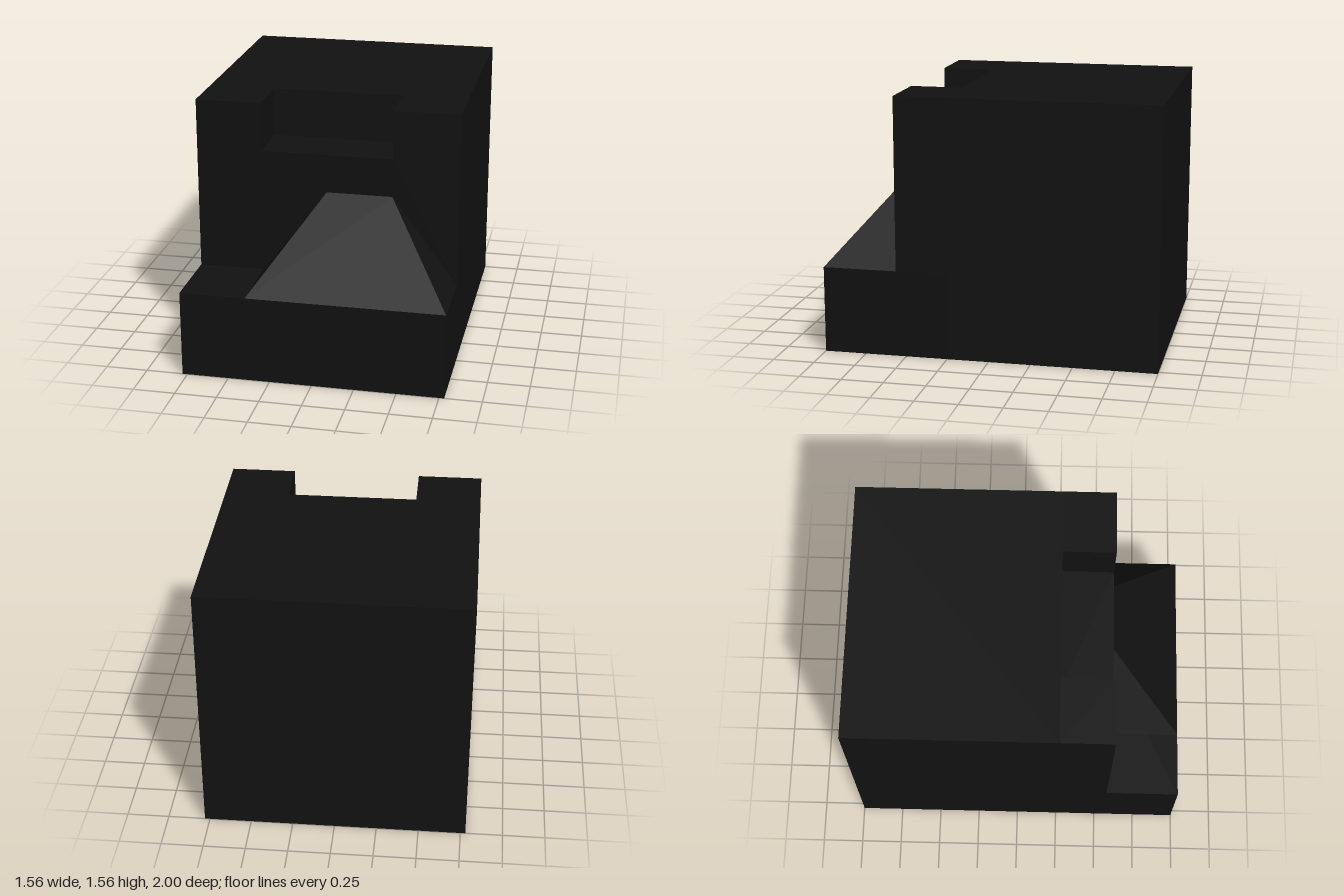
import * as THREE from 'three';
import { ConvexGeometry } from 'three/addons/geometries/ConvexGeometry.js';

const W = 0.78, H = 1.56, STEP = 0.52, FACE = 0.556, NOTCH = 0.24;

export function createModel() {
  const model = new THREE.Group();
  const material = new THREE.MeshStandardMaterial({ color: 0x111111, flatShading: true });

  const add = (name, geometry) => {
    const mesh = new THREE.Mesh(geometry, material);
    mesh.name = name;
    model.add(mesh);
    return mesh;
  };
  const block = (name, y0, y1, z0, z1) =>
    add(name, new THREE.BoxGeometry(2 * W, y1 - y0, z1 - z0))
      .position.set(0, (y0 + y1) / 2, (z0 + z1) / 2);

  // Full-height rear mass and the low step in front of it
  block('rearBlock', 0, H, -1, NOTCH);
  block('frontStep', 0, STEP, NOTCH, 1);

  // Upper front wall with a notch open to the top and front
  const wall = new THREE.Shape([
    [-W, STEP], [W, STEP], [W, H], [0.39, H],
    [0.39, 1.27], [-0.39, 1.27], [-0.39, H], [-W, H],
  ].map(([x, y]) => new THREE.Vector2(x, y)));
  add('notchedWall', new THREE.ExtrudeGeometry(wall, { depth: FACE - NOTCH, bevelEnabled: false }))
    .position.z = NOTCH;

  // Ramp on the step, sloping down to the front and both sides
  add('ramp', new ConvexGeometry([
    [-0.39, STEP, FACE], [-0.39, STEP, 1], [W, STEP, 1], [W, STEP, FACE],
    [0, 1.04, FACE], [0.39, 1.04, FACE],
  ].map((p) => new THREE.Vector3(...p))));

  return model;
}
